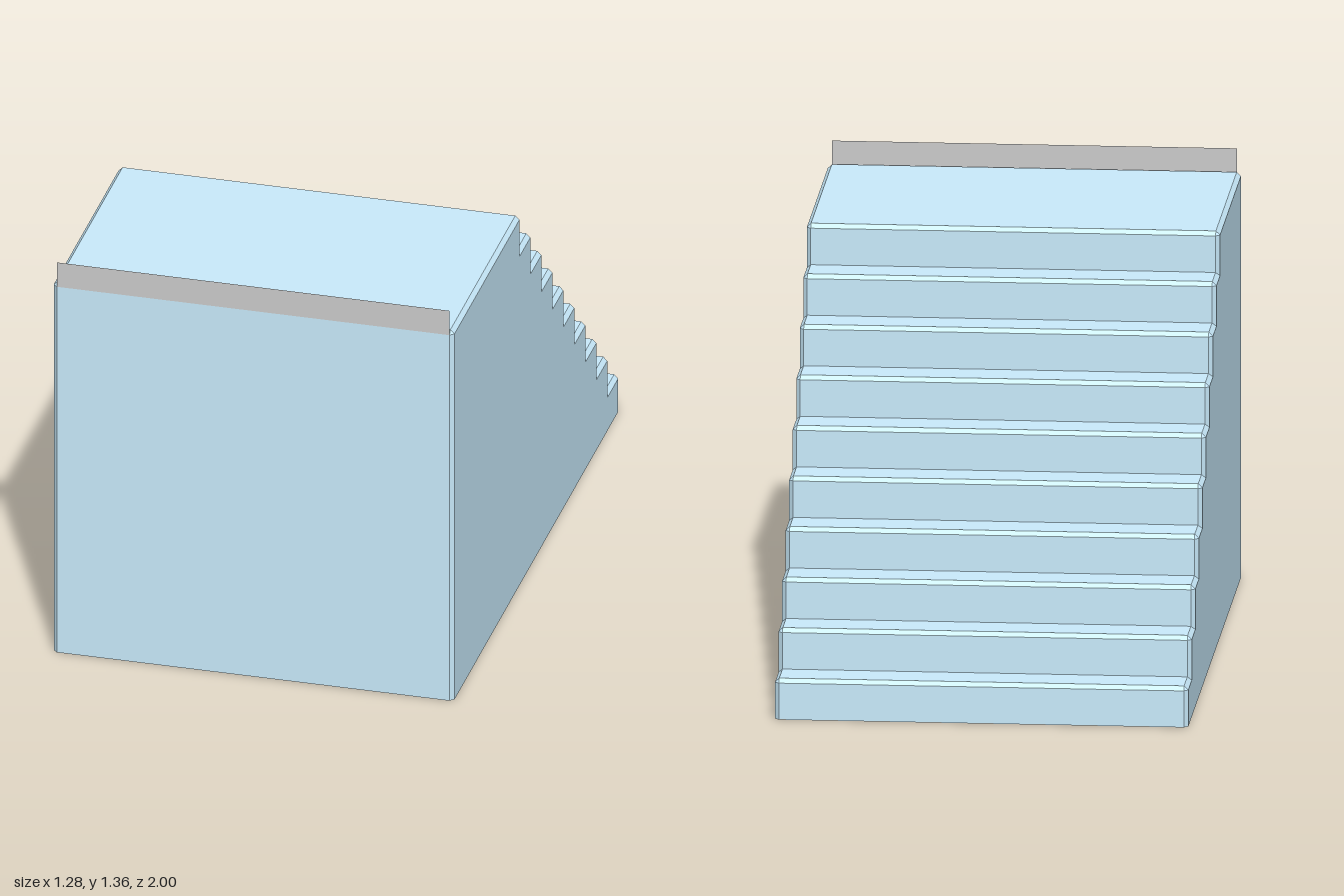
import * as THREE from 'three';

const STEPS = 10, HEIGHT = 1.288, HALF_W = 0.64, BEVEL = 0.013;
const RISE = HEIGHT / STEPS, TREAD = 0.1325, TOP_EDGE = 0.1925;

// Stair outline as [z, y] pairs: the full outline and the one inset for the side faces.
function outlines() {
  const outer = [], inner = [], b = BEVEL;
  const add = (z, y, iz, iy) => { outer.push([z, y]); inner.push([iz, iy]); };
  add(1, 0, 1 - b, 0);
  add(1, HEIGHT - b, 1 - b, HEIGHT - b);
  add(1 - b, HEIGHT, 1 - b, HEIGHT - b);
  for (let i = 0; i < STEPS; i++) {
    const z = TOP_EDGE - i * TREAD, y = HEIGHT - i * RISE, low = y - RISE;
    // chamfered nose of the step
    add(z + b, y, z + b, y - b);
    add(z, y - b, z + b, y - b);
    // foot of the riser
    if (i < STEPS - 1) add(z, low, z + b, low - b);
    else add(z, 0, z + b, 0);
  }
  return { outer, inner };
}

function stairGeometry() {
  const { outer, inner } = outlines();
  const pos = [], n = outer.length;
  const tri = (...pts) => pts.forEach((p) => pos.push(...p));

  // skin between successive cross-sections along x
  const sections = [[-HALF_W, inner], [-HALF_W + BEVEL, outer], [HALF_W - BEVEL, outer], [HALF_W, inner]];
  const at = (s, i) => [sections[s][0], sections[s][1][i % n][1], sections[s][1][i % n][0]];
  for (let s = 0; s < 3; s++) {
    for (let i = 0; i < n; i++) {
      const a = at(s, i), b = at(s + 1, i), c = at(s + 1, i + 1), d = at(s, i + 1);
      const same = (p, q) => p.every((v, k) => Math.abs(v - q[k]) < 1e-9);
      if (!same(b, c)) tri(a, b, c);
      if (!same(a, d)) tri(a, c, d);
    }
  }

  // flat side faces
  const cap = inner.filter((p, i) => i === 0 || Math.hypot(p[0] - inner[i - 1][0], p[1] - inner[i - 1][1]) > 1e-6)
    .map(([z, y]) => new THREE.Vector2(z, y));
  for (const [i, j, k] of THREE.ShapeUtils.triangulateShape(cap, [])) {
    let [a, b, c] = [cap[i], cap[j], cap[k]];
    if ((b.x - a.x) * (c.y - a.y) - (b.y - a.y) * (c.x - a.x) < 0) [b, c] = [c, b];
    const p = (x, v) => [x, v.y, v.x];
    tri(p(-HALF_W, a), p(-HALF_W, b), p(-HALF_W, c));
    tri(p(HALF_W, a), p(HALF_W, c), p(HALF_W, b));
  }

  const g = new THREE.BufferGeometry();
  g.setAttribute('position', new THREE.Float32BufferAttribute(pos, 3));
  g.computeVertexNormals();
  return g;
}

export function createModel() {
  const model = new THREE.Group();
  model.name = 'staircase';

  // solid stair block with chamfered edges
  const stairs = new THREE.Mesh(
    stairGeometry(),
    new THREE.MeshStandardMaterial({ color: 0xc9ebfc, flatShading: true })
  );
  stairs.name = 'stairBlock';
  model.add(stairs);

  // thin upright lip along the landing
  const bottom = HEIGHT - BEVEL, top = 1.36;
  const lip = new THREE.Mesh(
    new THREE.PlaneGeometry(2 * (HALF_W - BEVEL), top - bottom),
    new THREE.MeshStandardMaterial({ color: 0xcccccc, side: THREE.DoubleSide })
  );
  lip.name = 'landingLip';
  lip.position.set(0, (top + bottom) / 2, 1);
  model.add(lip);

  return model;
}
